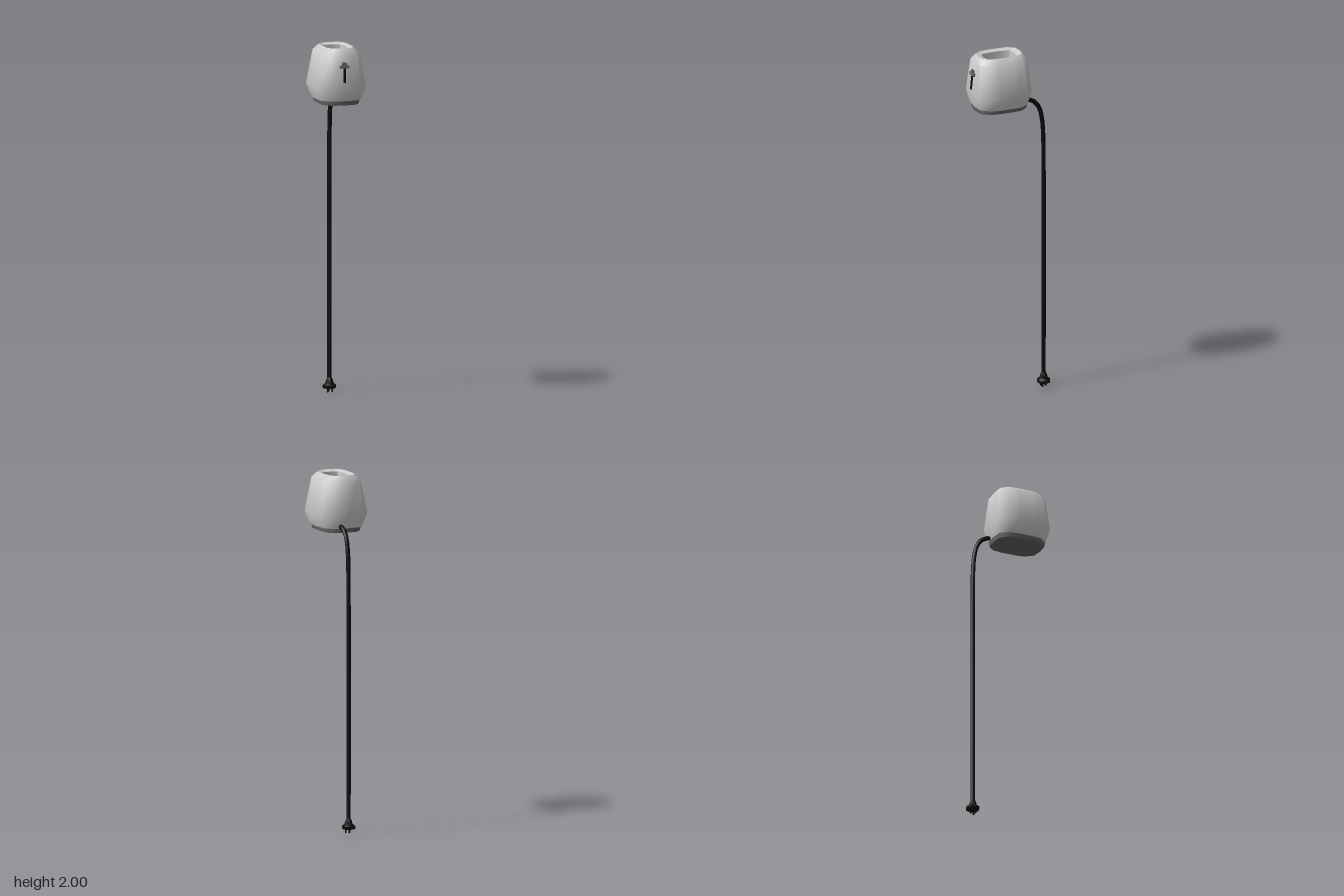
import * as THREE from 'three';
import { toCreasedNormals } from 'three/addons/utils/BufferGeometryUtils.js';

const CX = 0.04, CZ = -0.195; // line of the hanging cord
const grey = new THREE.MeshStandardMaterial({ color: 0xcccccc });
const darkGrey = new THREE.MeshStandardMaterial({ color: 0x666666 });
const black = new THREE.MeshStandardMaterial({ color: 0x0a0a0a });

// Fourteen-point rounded rectangle; u and v set how square its corners are
function outline(a, b, square) {
  const [p, q] = square ? [[0.86, 0.91], [0.9, 0.82]] : [[0.6, 0.955], [0.945, 0.66]];
  const quarter = [p, q, [1, 0.26]];
  const half = [[0, 1], ...quarter, ...quarter.slice().reverse().map(([x, z]) => [x, -z])];
  return [...half, ...half.map(([x, z]) => [-x, -z])].map(([x, z]) => [x * a, z * b + 0.06]);
}

// Skin over stacked outlines, each row being [y, half width, half depth, square]
function loft(rows) {
  const pos = [], index = [], n = 14;
  for (const [y, a, b, square] of rows)
    for (const [x, z] of outline(a, b, square)) pos.push(x, y, z);
  for (let i = 0; i < rows.length - 1; i++)
    for (let j = 0; j < n; j++) {
      const k = (j + 1) % n, r = i * n, s = r + n;
      if (rows[i][1] > 0) index.push(r + j, r + k, s + k);
      if (rows[i + 1][1] > 0) index.push(r + j, s + k, s + j);
    }
  const geo = new THREE.BufferGeometry();
  geo.setAttribute('position', new THREE.Float32BufferAttribute(pos, 3));
  geo.setIndex(index);
  return toCreasedNormals(geo, 0.95);
}

export function createModel() {
  const model = new THREE.Group();
  const add = (name, geo, mat, parent = model) => {
    const mesh = new THREE.Mesh(geo, mat);
    mesh.name = name;
    parent.add(mesh);
    return mesh;
  };

  // Shell, rolling over the rim and down into the open slot
  add('body', loft([
    [1.705, 0, 0],
    [1.705, 0.122, 0.15],
    [1.78, 0.15, 0.17],
    [1.97, 0.112, 0.151],
    [2.0, 0.08, 0.126],
    [1.99, 0.058, 0.094, true],
    [1.78, 0.056, 0.092, true],
    [1.78, 0, 0, true],
  ]), grey);

  add('base', loft([
    [1.68, 0, 0],
    [1.68, 0.109, 0.145],
    [1.708, 0.113, 0.149],
    [1.708, 0, 0],
  ]), darkGrey);

  // Lever on the front, leaning with the wall
  const lever = new THREE.Group();
  lever.name = 'lever';
  lever.position.set(0, 1.87, 0.224);
  lever.rotation.x = -0.1;
  model.add(lever);
  add('leverSlot', new THREE.BoxGeometry(0.013, 0.115, 0.006), black, lever).position.y = -0.002;
  add('leverHandle', new THREE.BoxGeometry(0.054, 0.016, 0.012), darkGrey, lever).position.y = 0.03;
  add('leverCap', new THREE.BoxGeometry(0.03, 0.016, 0.01), darkGrey, lever).position.y = 0.044;

  // Cord from the back of the body, bending straight down
  const path = new THREE.CatmullRomCurve3([
    [1.72, -0.07], [1.708, -0.125], [1.665, -0.165], [1.59, -0.185], [1.48, -0.193], [1.3, CZ], [0.07, CZ],
  ].map(([y, z]) => new THREE.Vector3(CX, y, z)));
  add('cord', new THREE.TubeGeometry(path, 48, 0.013, 8), black);

  // Plug with three prongs
  const plug = new THREE.Group();
  plug.name = 'plug';
  plug.position.set(CX, 0, CZ);
  model.add(plug);
  const profile = [[0, 0.022], [0.035, 0.022], [0.04, 0.028], [0.04, 0.038], [0.024, 0.05],
    [0.021, 0.066], [0.013, 0.082], [0, 0.082]].map(([r, y]) => new THREE.Vector2(r, y));
  add('plugBody', toCreasedNormals(new THREE.LatheGeometry(profile, 8), 0.5), black, plug);
  for (const [x, z] of [[-0.013, 0.012], [0.013, 0.012], [0, -0.012]])
    add('prong', new THREE.BoxGeometry(0.006, 0.026, 0.008), black, plug).position.set(x, 0.013, z);

  return model;
}
